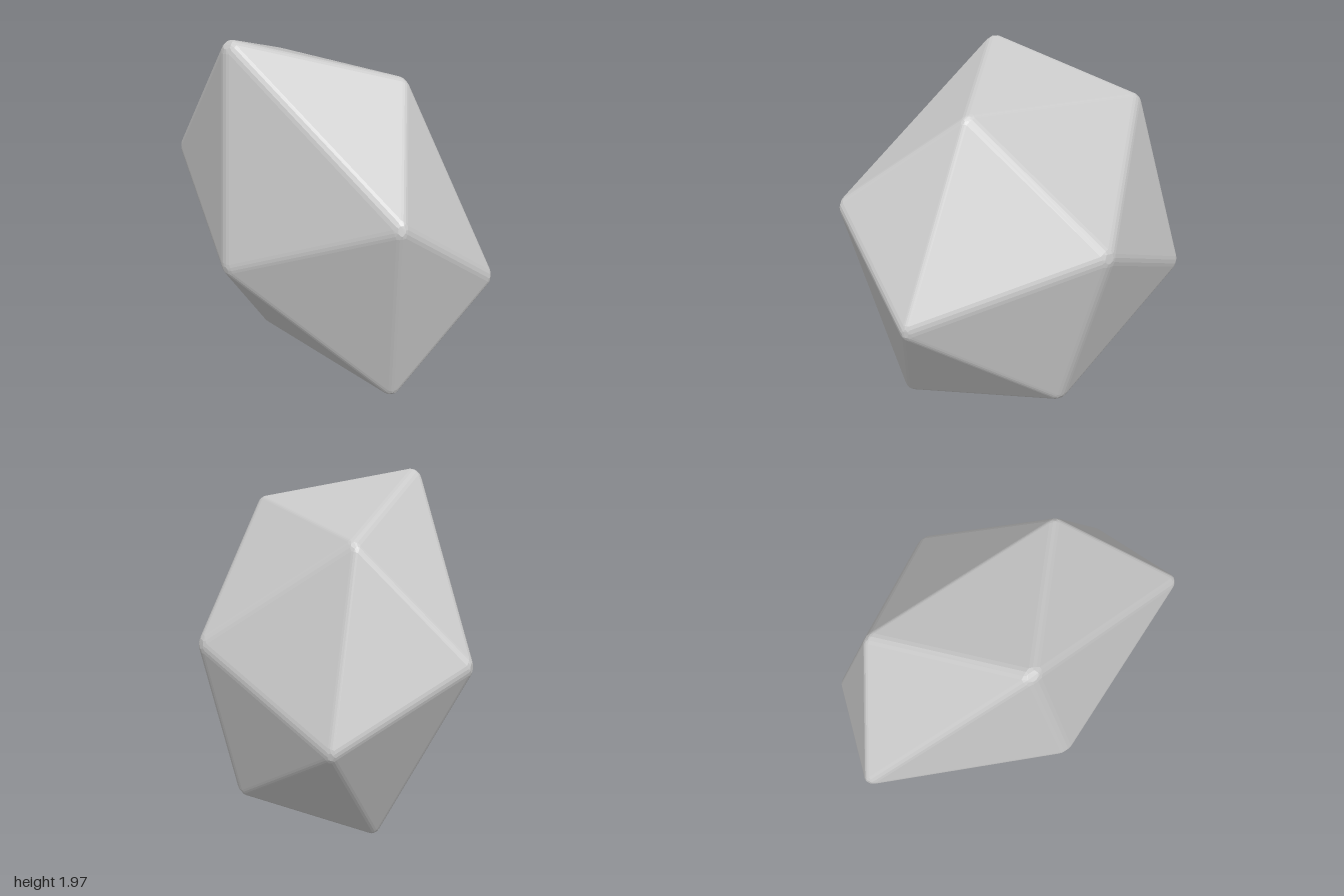
import * as THREE from 'three';
import { ConvexGeometry } from 'three/addons/geometries/ConvexGeometry.js';

const DEPTH = 0.65;   // front-to-back flattening
const RADIUS = 0.08;  // rounding of edges and corners
const STEPS = 3;      // flat bands across each rounded edge

// The twelve corners of the lopsided icosahedron
const CORNERS = [
  [-0.14, 1.96, 0.54], [0.97, 1.28, 0.37], [0.74, 0.14, 0.16],
  [-0.47, 0.02, 0.09], [-1.0, 1.11, 0.31], [0.02, 0.81, 0.72],
  [0.48, 1.79, -0.11], [-0.64, 1.7, -0.15], [0.99, 0.8, -0.28],
  [0.02, 1.1, -0.71], [-0.8, 0.69, -0.38], [0.12, 0.15, -0.45],
];

// Flat-faced solid with banded, rounded edges and corners
function roundedSolid(corners) {
  const centre = new THREE.Vector3(0, 0.97, 0);
  const inner = corners.map(([x, y, z]) => {
    const p = new THREE.Vector3(x, y, z / DEPTH);
    return p.addScaledVector(p.clone().sub(centre).normalize(), -RADIUS);
  });

  // Collect the normals of the faces meeting at each inner corner
  const pos = new ConvexGeometry(inner).getAttribute('position');
  const normals = inner.map(() => []);
  for (let i = 0; i < pos.count; i += 3) {
    const tri = [0, 1, 2].map((k) => new THREE.Vector3().fromBufferAttribute(pos, i + k));
    const n = new THREE.Triangle(...tri).getNormal(new THREE.Vector3());
    inner.forEach((p, j) => {
      if (tri.some((t) => t.distanceTo(p) < 1e-4)) normals[j].push(n);
    });
  }

  // Push each corner out along its face normals and the steps between them
  const points = [];
  inner.forEach((p, j) => {
    normals[j].forEach((a, ia) => {
      points.push(p.clone().addScaledVector(a, RADIUS));
      normals[j].slice(ia + 1).forEach((b) => {
        for (let s = 1; s < STEPS; s++) {
          const dir = a.clone().lerp(b, s / STEPS).normalize();
          points.push(p.clone().addScaledVector(dir, RADIUS));
        }
      });
    });
  });
  const geometry = new ConvexGeometry(points);
  geometry.scale(1, 1, DEPTH);
  geometry.computeVertexNormals();
  geometry.computeBoundingBox();
  geometry.translate(0, -geometry.boundingBox.min.y, 0);
  return geometry;
}

export function createModel() {
  const group = new THREE.Group();
  group.name = 'facetedStone';
  const grey = new THREE.MeshStandardMaterial({ color: 0xcacaca });
  grey.name = 'pale stone grey';
  const stone = new THREE.Mesh(roundedSolid(CORNERS), grey);
  stone.name = 'stone';
  group.add(stone);
  return group;
}
